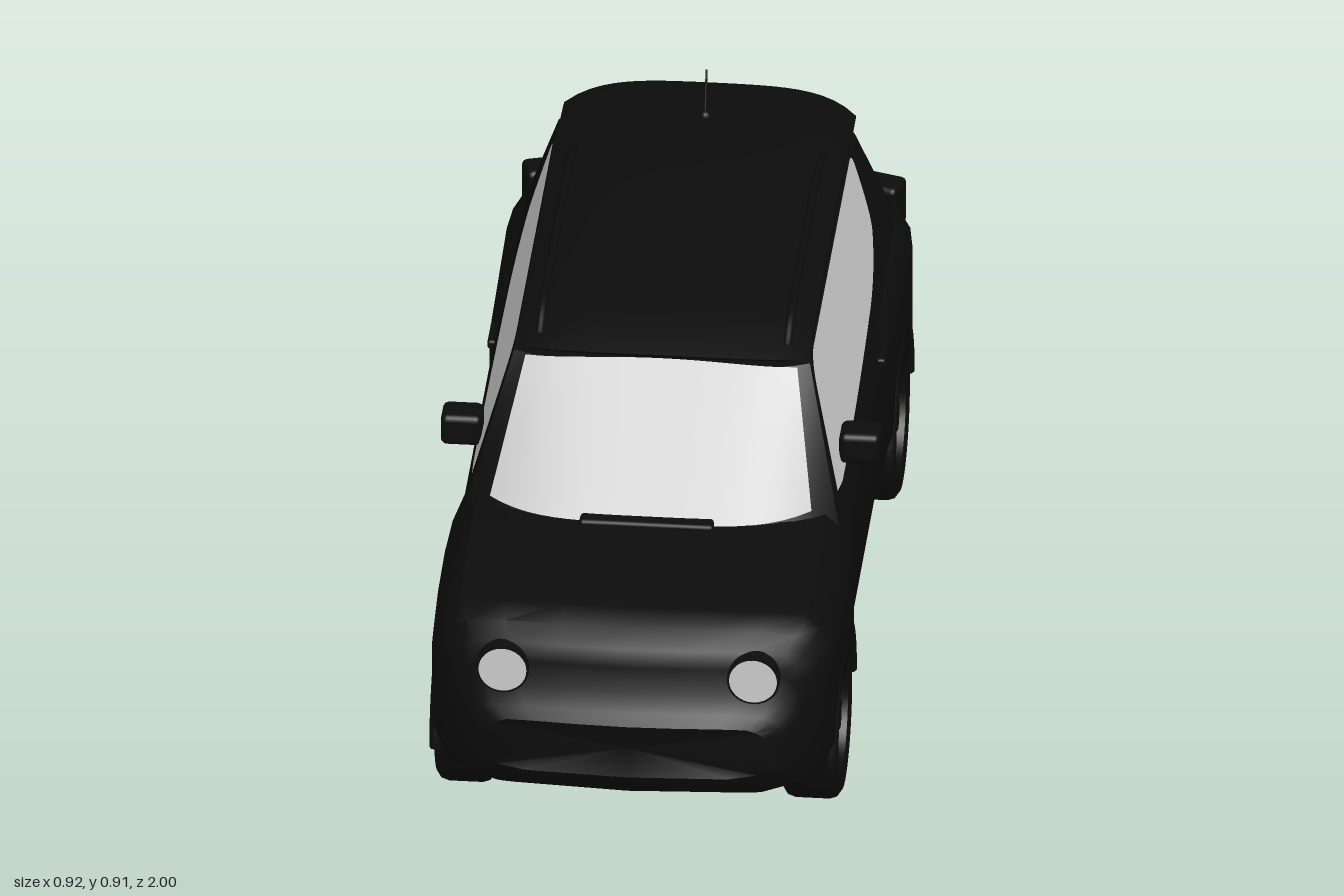
import * as THREE from 'three';
import { toCreasedNormals } from 'three/addons/utils/BufferGeometryUtils.js';
import { RoundedBoxGeometry } from 'three/addons/geometries/RoundedBoxGeometry.js';

const black = new THREE.MeshStandardMaterial({ color: 0x0c0c0c });
const grey = new THREE.MeshStandardMaterial({ color: 0xcccccc, side: THREE.DoubleSide });
const { lerp, smoothstep } = THREE.MathUtils;

// Linear lookup in rows [z, a, b, ...] sorted by falling z
function lookup(rows, z) {
  if (z >= rows[0][0]) return rows[0].slice(1);
  for (let i = 1; i < rows.length; i++) {
    const [p, q] = [rows[i - 1], rows[i]];
    if (z >= q[0]) return p.slice(1).map((v, k) => lerp(v, q[k + 1], (p[0] - z) / (p[0] - q[0])));
  }
  return rows[rows.length - 1].slice(1);
}

// Skin over equal-length closed rings of [x, y, z]; always turned to face outward
function loft(rings, { caps = true, loop = false, crease = 0.6 } = {}) {
  const n = rings[0].length, pos = rings.flat(), idx = [];
  const last = loop ? rings.length : rings.length - 1;
  for (let r = 0; r < last; r++) {
    for (let i = 0; i < n; i++) {
      const s = (r + 1) % rings.length, j = (i + 1) % n;
      const a = r * n + i, b = r * n + j, c = s * n + j, d = s * n + i;
      idx.push(a, b, c, a, c, d);
    }
  }
  if (caps) for (const r of [0, rings.length - 1]) {
    const mid = [0, 1, 2].map(k => rings[r].reduce((t, p) => t + p[k], 0) / n);
    pos.push(mid);
    for (let i = 0; i < n; i++) {
      const a = r * n + i, b = r * n + (i + 1) % n;
      idx.push(pos.length - 1, ...(r === 0 ? [b, a] : [a, b]));
    }
  }
  let volume = 0;
  const v = pos.map(p => new THREE.Vector3(...p));
  for (let i = 0; i < idx.length; i += 3) volume += v[idx[i]].dot(v[idx[i + 1]].clone().cross(v[idx[i + 2]]));
  if (volume < 0) idx.reverse();
  const g = new THREE.BufferGeometry().setFromPoints(v);
  g.setIndex(idx);
  return toCreasedNormals(g, crease);
}

// Open curved sheet from a rule (u in -1..1, v in 0..1) -> [x, y, z]
function sheet(rule, nu = 24, nv = 8) {
  const g = new THREE.PlaneGeometry(2, 1, nu, nv), p = g.attributes.position;
  for (let i = 0; i < p.count; i++) p.setXYZ(i, ...rule(p.getX(i), p.getY(i) + 0.5));
  g.computeVertexNormals();
  return g;
}

// Cabin shape: half width, windscreen surface and tailgate surface by height
const rise = y => (y - 0.56) / 0.23;
const halfWidth = y => lerp(0.378, 0.303, rise(y));
const screenZ = (x, y) => lerp(0.545, 0.225, rise(y)) - lerp(0.14, 0.03, rise(y)) * (x / halfWidth(y)) ** 4;
const tailZ = (x, y) => lerp(-0.955, -0.87, rise(y)) + 0.12 * (x / halfWidth(y)) ** 4;

const AXLES = [0.62, -0.63], ARCH = 0.19, WHEEL = 0.17;

function lowerBodyGeometry() {
  // z, top, bottom, half width
  const rows = [
    [1, 0.34, 0.22, 0.29], [0.985, 0.365, 0.19, 0.325], [0.96, 0.4, 0.168, 0.35], [0.954, 0.455, 0.162, 0.36],
    [0.943, 0.492, 0.157, 0.375], [0.91, 0.525, 0.147, 0.4], [0.85, 0.54, 0.137, 0.42], [0.7, 0.553, 0.135, 0.424],
    [0.55, 0.565, 0.138, 0.424], [0.42, 0.565, 0.14, 0.42], [0.3, 0.56, 0.142, 0.406], [-0.3, 0.56, 0.155, 0.406],
    [-0.42, 0.56, 0.16, 0.42], [-0.8, 0.57, 0.165, 0.424], [-0.9, 0.575, 0.165, 0.418], [-0.945, 0.575, 0.168, 0.39],
    [-0.962, 0.56, 0.172, 0.36], [-0.975, 0.45, 0.19, 0.33]];
  // half section: fraction of width, fraction of height
  const half = [[0, 1], [0.35, 1], [0.65, 0.992], [0.86, 0.965], [0.93, 0.9], [0.99, 0.8], [1, 0.7], [1, 0.45],
    [1, 0.22], [0.93, 0.06], [0.74, 0], [0.67, 0]];
  const zs = rows.map(r => r[0]);
  for (const c of AXLES) {
    for (let i = 0; i <= 16; i++) zs.push(c + ARCH * Math.cos(Math.PI * i / 16));
    zs.push(c + ARCH + 0.002, c - ARCH - 0.002);
  }
  zs.sort((a, b) => b - a);
  const rings = zs.map(z => {
    const [top, bottom, w] = lookup(rows, z);
    let arch = 0;
    for (const c of AXLES) {
      const d = Math.abs(z - c);
      if (d <= ARCH + 1e-6) arch = WHEEL + Math.sqrt(Math.max(0, ARCH * ARCH - d * d));
    }
    const bow = 0.05 * smoothstep(Math.abs(z), 0.7, 1) * Math.sign(z);
    const at = (x, y) => [x, y, z - bow * (x / 0.42) ** 2];
    const side = half.map(([fx, fy]) => at(fx * w, Math.max(lerp(bottom, top, fy), arch)));
    side.push(at(0.66 * w, bottom), at(0, bottom));
    const mirrored = side.slice(1, -1).reverse().map(([x, y, zz]) => [-x, y, zz]);
    return [...side, ...mirrored];
  });
  return loft(rings);
}

function cabinGeometry() {
  const n = 20;
  return loft([0.5, 0.56, 0.63, 0.7, 0.775].map(y => {
    const ring = [], w = halfWidth(y);
    for (let i = 0; i <= n; i++) { const x = w * (2 * i / n - 1); ring.push([x, y, screenZ(x, y)]); }
    for (let i = 0; i <= n; i++) { const x = w * (1 - 2 * i / n); ring.push([x, y, tailZ(x, y)]); }
    return ring;
  }), { crease: 0.5 });
}

function roofGeometry() {
  const rows = [[0.23, 0.79], [0.19, 0.803], [0.1, 0.822], [0, 0.834], [-0.15, 0.839], [-0.3, 0.84], [-0.45, 0.837],
    [-0.6, 0.83], [-0.72, 0.82], [-0.82, 0.808], [-0.88, 0.8], [-0.912, 0.79]];
  const n = 24;
  return loft(rows.map(([z, yc]) => {
    const top = [], under = [];
    for (let i = 0; i <= n; i++) {
      const u = 2 * i / n - 1;
      const zz = z - 0.03 * u ** 4 * smoothstep(z, 0, 0.23) + 0.08 * u ** 4 * smoothstep(-z, 0.6, 0.91);
      top.push([u * 0.304, yc - (yc - 0.755) * (0.15 * u * u + 0.35 * u ** 8), zz]);
      under.unshift([u * 0.304, Math.min(0.77, yc - 0.02), zz]);
    }
    return [...top, ...under];
  }));
}

// Oblong trim ring wrapped around the rear bumper
function bumperRingGeometry() {
  const oval = (rx, ry, back) => Array.from({ length: 64 }, (_, i) => {
    const a = i / 64 * Math.PI * 2, f = v => Math.sign(v) * Math.abs(v) ** 0.45;
    const x = rx * f(Math.cos(a)), y = 0.265 + ry * f(Math.sin(a));
    const z = -1 + 0.075 * smoothstep(Math.abs(x), 0.2, 0.41) + 0.04 * (1 - smoothstep(y, 0.17, 0.22));
    return [x, y, z + back];
  });
  return loft([oval(0.395, 0.092, 0.07), oval(0.385, 0.085, 0.006), oval(0.37, 0.076, 0), oval(0.29, 0.05, 0),
    oval(0.28, 0.045, 0.06)], { caps: false, loop: true });
}

function sideWindowGeometry(s) {
  const shape = new THREE.Shape();
  shape.moveTo(0.365, 0.563);
  shape.lineTo(0.235, 0.735);
  shape.quadraticCurveTo(0.2, 0.778, 0.15, 0.782);
  shape.lineTo(-0.63, 0.782);
  shape.quadraticCurveTo(-0.66, 0.782, -0.658, 0.755);
  shape.quadraticCurveTo(-0.645, 0.65, -0.61, 0.63);
  shape.quadraticCurveTo(-0.52, 0.585, -0.38, 0.574);
  shape.quadraticCurveTo(0, 0.55, 0.3, 0.551);
  const g = new THREE.ShapeGeometry(shape, 8), p = g.attributes.position;
  for (let i = 0; i < p.count; i++) p.setXYZ(i, s * (halfWidth(p.getY(i)) + 0.004), p.getY(i), p.getX(i));
  g.computeVertexNormals();
  return g;
}

function wheel(name) {
  const g = new THREE.Group();
  g.name = name;
  const profile = [[0.1, -0.05], [0.15, -0.06], [0.165, -0.05], [0.17, -0.035], [0.17, 0.035], [0.165, 0.05],
    [0.15, 0.06], [0.115, 0.055], [0.11, 0.03], [0.1, -0.05]].map(p => new THREE.Vector2(...p));
  add(g, 'tyre', toCreasedNormals(new THREE.LatheGeometry(profile, 40), 0.6));
  add(g, 'rimBack', new THREE.CylinderGeometry(0.112, 0.112, 0.06, 32), black, [0, -0.015, 0]);
  add(g, 'hub', new THREE.CylinderGeometry(0.025, 0.03, 0.04, 20), black, [0, 0.03, 0]);
  for (let i = 0; i < 5; i++) {
    const a = i / 5 * Math.PI * 2;
    add(g, 'spoke', new THREE.BoxGeometry(0.095, 0.025, 0.028), black,
      [0.065 * Math.cos(a), 0.03, 0.065 * Math.sin(a)], [0, -a, 0]);
  }
  return g;
}

function add(parent, name, geometry, material = black, position = [0, 0, 0], rotation = [0, 0, 0]) {
  const m = new THREE.Mesh(geometry, material);
  m.name = name;
  m.position.set(...position);
  m.rotation.set(...rotation);
  parent.add(m);
  return m;
}

export function createModel() {
  const car = new THREE.Group();
  car.name = 'car';
  add(car, 'lowerBody', lowerBodyGeometry());
  add(car, 'cabin', cabinGeometry());
  add(car, 'roof', roofGeometry());

  // Glass
  add(car, 'windscreen', sheet((u, v) => {
    const y = lerp(0.565, 0.786 - 0.012 * u * u, v), x = u * lerp(0.335, 0.283, v);
    return [x, y, screenZ(x, y) + 0.005];
  }), grey);
  add(car, 'rearWindow', sheet((u, v) => {
    const y = lerp(0.585 + 0.05 * u ** 6, 0.778, v), x = u * 0.94 * halfWidth(y);
    return [x, y, tailZ(x, y) - 0.005];
  }), grey);
  add(car, 'cowl', new RoundedBoxGeometry(0.28, 0.02, 0.05, 2, 0.008), black, [0, 0.565, 0.535]);

  // Rear bumper and tailgate
  add(car, 'bumperRing', bumperRingGeometry(), grey);
  add(car, 'bumperInsert', new RoundedBoxGeometry(0.57, 0.096, 0.08, 3, 0.03), black, [0, 0.265, -0.954]);
  add(car, 'tailgateHandle', new RoundedBoxGeometry(0.26, 0.025, 0.03, 2, 0.008), black, [0, 0.42, -0.965]);

  // Antenna
  add(car, 'antenna', new THREE.CylinderGeometry(0.002, 0.003, 0.1, 8), black, [0, 0.864, -0.737], [-0.36, 0, 0]);
  add(car, 'antennaBase', new THREE.SphereGeometry(0.012, 12, 8), black, [0, 0.82, -0.72]);

  for (const [s, label] of [[1, 'left'], [-1, 'right']]) {
    add(car, label + 'SideWindow', sideWindowGeometry(s), grey);

    // Headlamp
    add(car, label + 'HeadlampHousing', new THREE.CylinderGeometry(0.055, 0.055, 0.08, 32), black,
      [s * 0.261, 0.437, 0.912], [Math.PI / 2, 0, 0]);
    add(car, label + 'Headlamp', new THREE.CircleGeometry(0.05, 32), grey, [s * 0.261, 0.437, 0.954]);

    // Tail lamp
    add(car, label + 'TailLampHousing', new RoundedBoxGeometry(0.1, 0.105, 0.07, 2, 0.012), black,
      [s * 0.345, 0.53, -0.905], [0, -s * 0.3, 0]);
    add(car, label + 'TailLamp', new THREE.BoxGeometry(0.07, 0.075, 0.012), grey,
      [s * 0.355, 0.53, -0.937], [0, -s * 0.3, 0]);

    // Door mirror
    add(car, label + 'Mirror', new RoundedBoxGeometry(0.085, 0.07, 0.075, 3, 0.014), black, [s * 0.415, 0.6, 0.222]);
    add(car, label + 'MirrorArm', new THREE.BoxGeometry(0.06, 0.025, 0.04), black, [s * 0.375, 0.577, 0.22]);

    // Roof rail following the crown
    const rail = new THREE.CatmullRomCurve3([[0.79, 0.17], [0.826, 0.1], [0.837, -0.05], [0.84, -0.3], [0.836, -0.5],
      [0.8, -0.62]].map(([y, z]) => new THREE.Vector3(s * 0.258, y, z)));
    add(car, label + 'RoofRail', new THREE.TubeGeometry(rail, 40, 0.009, 8));

    for (const z of [0.02, -0.36])
      add(car, label + 'DoorHandle', new RoundedBoxGeometry(0.02, 0.02, 0.09, 2, 0.006), black, [s * 0.405, 0.48, z]);

    AXLES.forEach((z, i) => {
      const end = i ? 'Rear' : 'Front';
      const w = wheel(label + end + 'Wheel');
      w.position.set(s * 0.361, WHEEL, z);
      w.rotation.z = -s * Math.PI / 2;
      car.add(w);
      add(car, label + end + 'ArchFlare', new THREE.TorusGeometry(ARCH + 0.012, 0.015, 8, 32, Math.PI), black,
        [s * 0.411, WHEEL, z], [0, Math.PI / 2, 0]);
    });
  }
  return car;
}
